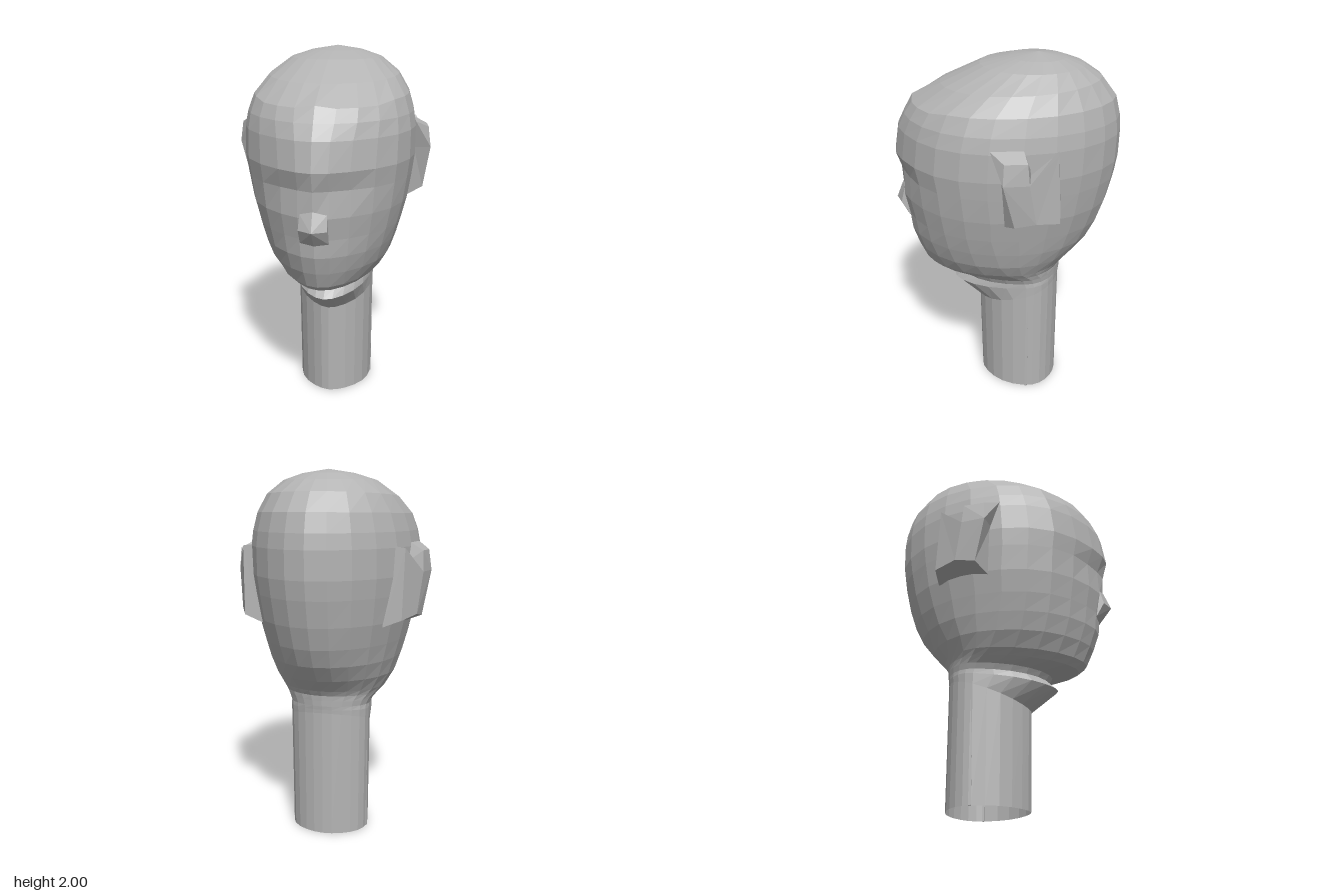
import * as THREE from 'three';
import { ConvexGeometry } from 'three/addons/geometries/ConvexGeometry.js';

const clay = new THREE.MeshStandardMaterial({ color: 0xb4b4b4, flatShading: true, side: THREE.DoubleSide });
clay.name = 'grey clay';

const SEGMENTS = 24;

function part(name, geometry) {
  const mesh = new THREE.Mesh(geometry, clay);
  mesh.name = name;
  return mesh;
}

function buildGeometry(points, index) {
  const g = new THREE.BufferGeometry();
  g.setAttribute('position', new THREE.Float32BufferAttribute(points.flat(), 3));
  g.setIndex(index);
  const flat = g.toNonIndexed();
  flat.computeVertexNormals();
  return flat;
}

// Skin egg-shaped rings: [y front, y back, z front, z back, half width, z of widest point, front taper]
function skinRings(rings, adjust, apex) {
  const points = [], index = [];
  for (const [yF, yB, zF, zB, w, zC, taper] of rings) {
    for (let i = 0; i < SEGMENTS; i++) {
      const a = (i / SEGMENTS) * Math.PI * 2, c = Math.cos(a);
      const z = zC + (c > 0 ? zF - zC : zC - zB) * c;
      const y = yB + (yF - yB) * (z - zB) / (zF - zB);
      const narrow = 1 - (c > 0 ? taper : 0.1) * c ** 4;
      const p = [w * Math.sin(a) * narrow, y, z];
      if (adjust) adjust(p, Math.min(i, SEGMENTS - i), yF);
      points.push(p);
    }
  }
  for (let r = 0; r < rings.length - 1; r++) {
    for (let i = 0; i < SEGMENTS; i++) {
      const j = (i + 1) % SEGMENTS;
      const a = r * SEGMENTS + i, b = r * SEGMENTS + j;
      index.push(a, b, b + SEGMENTS, a, b + SEGMENTS, a + SEGMENTS);
    }
  }
  if (apex) {
    const base = (rings.length - 1) * SEGMENTS;
    points.push(apex);
    for (let i = 0; i < SEGMENTS; i++) index.push(base + i, base + (i + 1) % SEGMENTS, points.length - 1);
  }
  return buildGeometry(points, index);
}

// Ear: outer rim [z, y, x] joined to a wider base loop on the skull
function earGeometry(side) {
  const outer = [
    [-0.04, 1.58, 0.525], [-0.155, 1.58, 0.51], [-0.165, 1.47, 0.515], [-0.30, 1.60, 0.44],
    [-0.32, 1.23, 0.43], [-0.20, 1.25, 0.49], [-0.09, 1.23, 0.50], [-0.035, 1.47, 0.54],
  ];
  const base = [
    [0.035, 1.62, 0.46], [-0.13, 1.62, 0.44], [-0.165, 1.50, 0.40], [-0.30, 1.61, 0.37],
    [-0.32, 1.19, 0.33], [-0.19, 1.20, 0.37], [-0.03, 1.19, 0.41], [-0.015, 1.47, 0.45],
  ];
  const points = [...outer, ...base].map(([z, y, x]) => [x * side, y, z]);
  const n = outer.length;
  const faces = THREE.ShapeUtils.triangulateShape(outer.map(([z, y]) => new THREE.Vector2(-z, y)), []);
  for (let i = 0; i < n; i++) {
    const j = (i + 1) % n;
    faces.push([i, i + n, j + n], [i, j + n, j]);
  }
  // The triangles wind outward on the left ear and are flipped for the right one
  return buildGeometry(points, faces.flatMap(([a, b, c]) => (side > 0 ? [a, b, c] : [a, c, b])));
}

export function createModel() {
  const model = new THREE.Group();
  model.name = 'head';

  // Open neck with the flared throat lip
  const throat = [0.705, 0.74, 0.25, -0.315, 0.222, -0.13, 0.1];
  model.add(part('neck', skinRings([
    [0, 0, 0.14, -0.31, 0.213, -0.14, 0.25],
    [0.545, 0.70, 0.15, -0.31, 0.22, -0.14, 0.25],
    [0.66, 0.72, 0.30, -0.312, 0.222, -0.14, 0.2],
    throat,
  ])));

  // Skull and face, tapering to a ridge along the middle of the face
  const skull = [
    throat,
    [0.735, 0.77, 0.27, -0.317, 0.235, -0.12, 0.1],
    [0.765, 0.80, 0.42, -0.32, 0.262, -0.08, 0.15],
    [0.80, 0.83, 0.465, -0.34, 0.29, -0.04, 0.2],
    [0.89, 0.90, 0.505, -0.405, 0.335, 0.0, 0.22],
    [0.99, 0.99, 0.54, -0.475, 0.367, 0.02, 0.25],
    [1.09, 1.09, 0.55, -0.525, 0.395, 0.04, 0.27],
    [1.21, 1.21, 0.575, -0.565, 0.425, 0.04, 0.3],
    [1.35, 1.35, 0.583, -0.597, 0.447, 0.05, 0.35],
    [1.45, 1.45, 0.61, -0.612, 0.46, 0.05, 0.38],
    [1.60, 1.60, 0.585, -0.615, 0.46, 0.04, 0.3],
    [1.68, 1.68, 0.545, -0.607, 0.447, 0.03, 0.15],
    [1.76, 1.78, 0.50, -0.582, 0.418, 0.01, 0.05],
    [1.845, 1.88, 0.345, -0.505, 0.355, -0.06, 0.05],
    [1.945, 1.94, 0.135, -0.415, 0.25, -0.13, 0.05],
    [1.98, 1.975, -0.02, -0.32, 0.14, -0.16, 0.05],
  ];
  // Shallow eye sockets and the dip of the hairline
  const shapeFace = (p, step, y) => {
    if (y === 1.35 && (step === 1 || step === 2)) p[2] -= 0.012;
    if (y === 1.76 && step > 0 && step < 4) p[1] -= 0.015;
  };
  model.add(part('skull', skinRings(skull, shapeFace, [0, 2, -0.17])));

  // Wedge nose
  const nose = [[0, 1.25, 0.58], [0, 1.15, 0.62], [0, 1.06, 0.548], [0, 1.2, 0.5]];
  for (const s of [-1, 1]) nose.push([s * 0.075, 1.15, 0.58], [s * 0.075, 1.07, 0.535], [s * 0.07, 1.23, 0.56]);
  model.add(part('nose', new ConvexGeometry(nose.map((p) => new THREE.Vector3(...p)))));

  // Ears and the vertical seams on the sides of the neck
  for (const [name, s] of [['left', 1], ['right', -1]]) {
    model.add(part(name + 'Ear', earGeometry(s)));
    const seam = part(name + 'NeckSeam', new THREE.BoxGeometry(0.012, 0.64, 0.014));
    seam.position.set(s * 0.211, 0.32, -0.145);
    model.add(seam);
  }
  return model;
}
